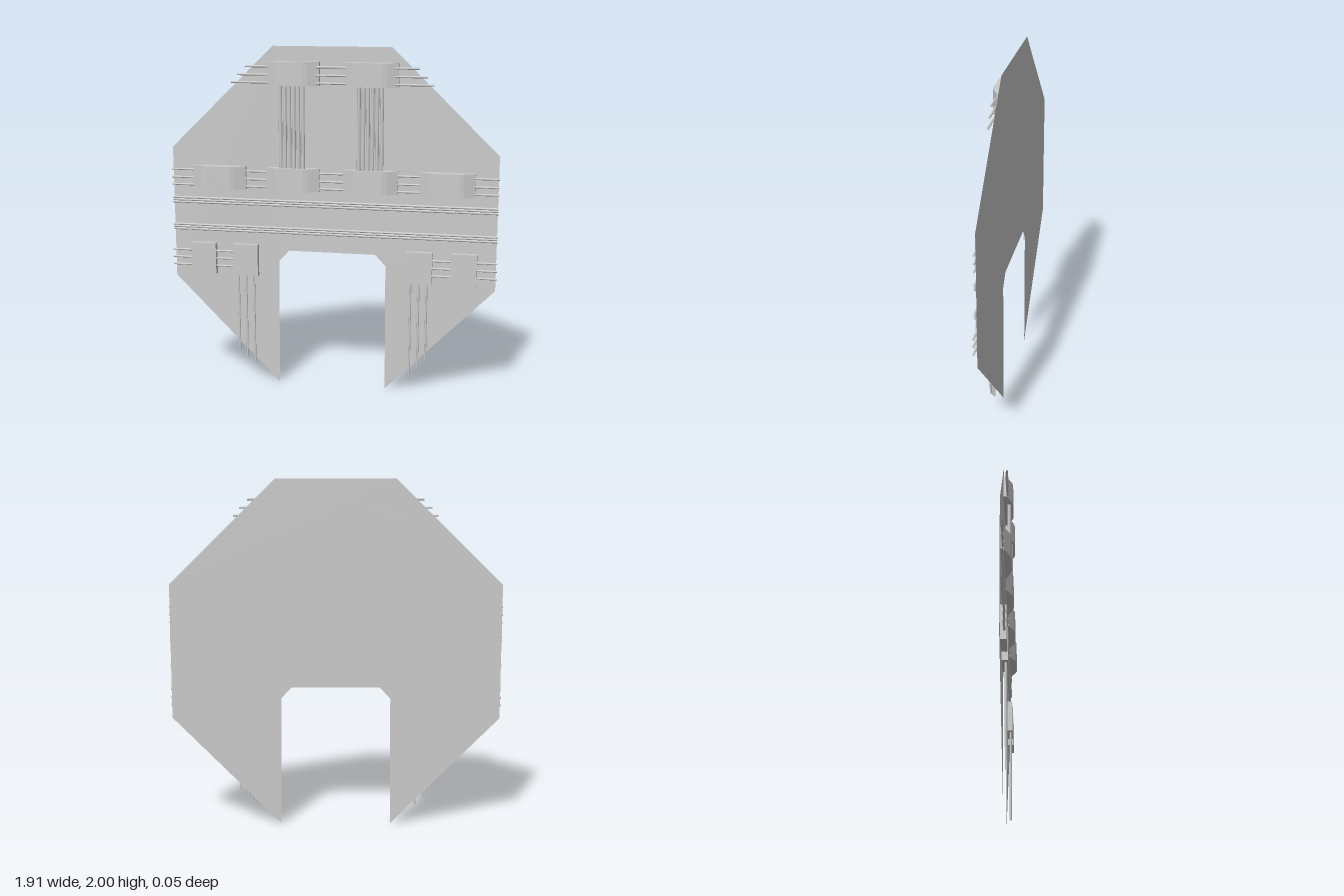
import * as THREE from 'three';

const BACK = -0.027;

export function createModel() {
  const root = new THREE.Group();
  const mat = new THREE.MeshStandardMaterial({ color: 0xcccccc, side: THREE.DoubleSide });
  const flat = new THREE.MeshStandardMaterial({ color: 0xcccccc, flatShading: true });
  const tubeMat = new THREE.MeshStandardMaterial({ color: 0xcccccc });

  const add = (name, geometry, material, x = 0, y = 0, z = 0) => {
    const mesh = new THREE.Mesh(geometry, material);
    mesh.name = name;
    mesh.position.set(x, y, z);
    root.add(mesh);
    return mesh;
  };

  // Open-ended straight cables
  const cableX = (name, x0, x1, y, z, r = 0.006) => {
    const geo = new THREE.CylinderGeometry(r, r, x1 - x0, 8, 1, true).rotateZ(Math.PI / 2);
    return add(name, geo, tubeMat, (x0 + x1) / 2, y, z);
  };
  const cableY = (name, x, y0, y1, z, r = 0.006) =>
    add(name, new THREE.CylinderGeometry(r, r, y1 - y0, 8, 1, true), tubeMat, x, (y0 + y1) / 2, z);

  // Thin backing sheet with a notch between two pointed legs
  const half = [[0.34, 2], [0.945, 1.41], [0.945, 0.635], [0.318, 0], [0.314, 0.75], [0.254, 0.815]];
  const outline = [...half, ...half.map(([x, y]) => [-x, y]).reverse()];
  const panel = new THREE.Shape(outline.map(([x, y]) => new THREE.Vector2(x, y)));
  add('backPanel', new THREE.ShapeGeometry(panel), mat, 0, 0, BACK);

  // Bulging connector blocks: a top-down profile extruded upward
  const side = [[0.157, BACK], [0.157, -0.01], [0.145, -0.004], [0.095, 0.02], [0.07, 0.027]];
  const profile = [...side, ...side.map(([x, z]) => [-x, z]).reverse()];
  const blockGeo = new THREE.ExtrudeGeometry(
    new THREE.Shape(profile.map(([x, z]) => new THREE.Vector2(x, -z))),
    { depth: 0.135, bevelEnabled: false }
  ).rotateX(-Math.PI / 2);
  for (const x of [-0.661, -0.226, 0.224, 0.661]) add('connectorBlock', blockGeo, flat, x, 1.175, 0);
  for (const x of [-0.226, 0.224]) add('upperConnectorBlock', blockGeo, flat, x, 1.78, 0);

  // Cables linking the middle row of blocks
  for (const y of [1.282, 1.235, 1.192])
    for (const [a, b] of [[-0.95, -0.8], [-0.52, -0.37], [-0.085, 0.08], [0.365, 0.52], [0.8, 0.95]])
      cableX('middleCable', a, b, y, -0.015);

  // Cables of the top row, stepped at their outer ends
  [[1.886, 0.497], [1.84, 0.542], [1.796, 0.577]].forEach(([y, end]) => {
    cableX('topCable', -end, -0.36, y, -0.004);
    cableX('topCable', -0.09, 0.085, y, -0.004);
    cableX('topCable', 0.355, end, y, -0.004);
  });

  // Vertical bundles between the upper and middle blocks
  for (const x of [-0.226, 0.224])
    for (let i = 0; i < 6; i++) cableY('bundleCable', x + (i - 2.5) * 0.026, 1.3, 1.79, 0.004, 0.0105);

  // Full-width bands of three pipes
  for (const y of [1.1, 0.938])
    for (const d of [-0.0135, 0, 0.0135]) cableX('bandPipe', -0.948, 0.948, y + d, -0.016, 0.0068);

  // Lower boxes and their cables, mirrored
  const boxGeo = new THREE.BoxGeometry(0.148, 0.188, 0.032);
  for (const s of [-1, 1]) {
    for (const x of [0.511, 0.765]) add('lowerBox', boxGeo, flat, s * x, 0.753, BACK + 0.016);
    for (const y of [0.8, 0.755, 0.71])
      for (const [a, b] of [[0.575, 0.7], [0.83, 0.953]])
        cableX('lowerCable', s > 0 ? a : -b, s > 0 ? b : -a, y, -0.006);
    for (const [x, y] of [[0.463, 0.113], [0.51, 0.157], [0.556, 0.2]])
      cableY('hangingCable', s * x, y, 0.67, -0.006);
  }
  return root;
}
